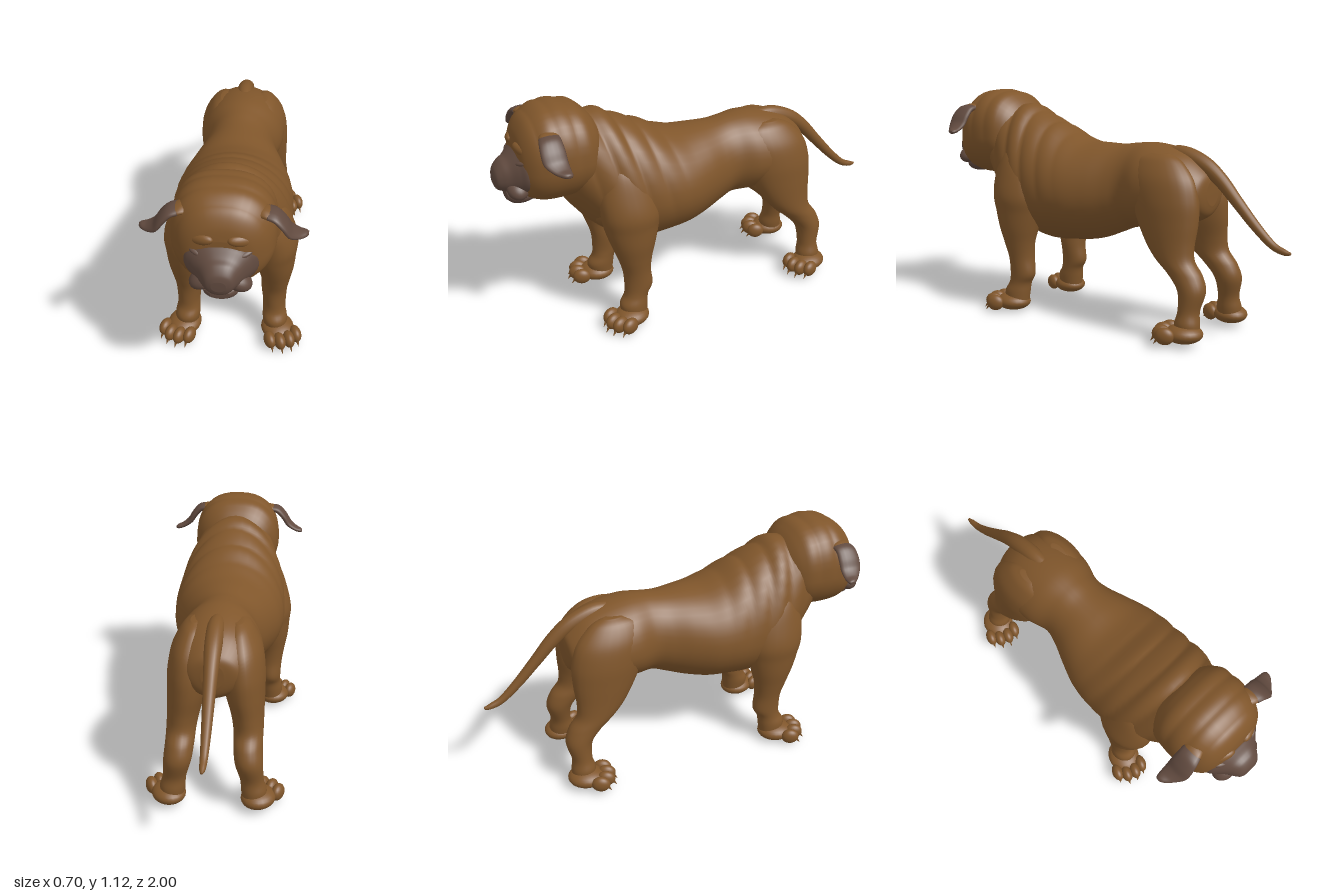
import * as THREE from 'three';

const coat = new THREE.MeshStandardMaterial({ color: 0x80562b });
coat.name = 'brownCoat';
const mask = new THREE.MeshStandardMaterial({ color: 0x614a3f });
mask.name = 'darkMask';

// Smoothly interpolate rows of numbers, `steps` rows per gap
function smooth(rows, steps) {
  const out = [];
  const last = rows.length - 1;
  for (let i = 0; i < last; i++) {
    const a = rows[Math.max(i - 1, 0)], b = rows[i], c = rows[i + 1], d = rows[Math.min(i + 2, last)];
    for (let s = 0; s < steps; s++) {
      const t = s / steps;
      out.push(b.map((v, k) => v + 0.5 * t * (c[k] - a[k] +
        t * (2 * a[k] - 5 * v + 4 * c[k] - d[k] + t * (3 * (v - c[k]) + d[k] - a[k])))));
    }
  }
  out.push(rows[last]);
  return out;
}

// Skin a list of closed rings, cap both ends and make it face outwards
function loft(rings) {
  const n = rings[0].length, m = rings.length;
  const pts = rings.flat();
  for (const r of [rings[0], rings[m - 1]]) {
    pts.push(r.reduce((s, p) => s.add(p), new THREE.Vector3()).divideScalar(n));
  }
  const tris = [];
  for (let j = 0; j < n; j++) {
    const k = (j + 1) % n;
    for (let i = 0; i < m - 1; i++) {
      const a = i * n + j, b = i * n + k, c = a + n, d = b + n;
      tris.push([a, b, d], [a, d, c]);
    }
    tris.push([m * n, k, j], [m * n + 1, (m - 1) * n + j, (m - 1) * n + k]);
  }
  let volume = 0;
  const cross = new THREE.Vector3();
  for (const [a, b, c] of tris) volume += pts[a].dot(cross.crossVectors(pts[b], pts[c]));
  const geo = new THREE.BufferGeometry().setFromPoints(pts);
  geo.setIndex(tris.flatMap(([a, b, c]) => (volume > 0 ? [a, b, c] : [a, c, b])));
  geo.computeVertexNormals();
  return geo;
}

const pow = (v, p) => Math.sign(v) * Math.abs(v) ** p;

// Rings along z from rows [z, top, bottom, halfWidth, widestY]; fold(z, y) swells the skin
function alongZ(rows, { steps = 8, sides = 40, upper = 1, lower = 1, fold = () => 0 } = {}) {
  return loft(smooth(rows, steps).map(([z, top, bottom, w, mid]) =>
    Array.from({ length: sides }, (_, j) => {
      const a = (j / sides) * Math.PI * 2, s = Math.sin(a);
      const h = pow(s, s > 0 ? upper : 1) * (s > 0 ? top - mid : mid - bottom);
      const swell = 1 + fold(z, mid + h);
      return new THREE.Vector3(w * pow(Math.cos(a), s > 0 ? upper : lower) * swell, mid + h * swell, z);
    })));
}

// Rings along y from rows [y, x0, x1, z0, z1]
function alongY(rows, side) {
  return loft(smooth(rows, 6).map(([y, x0, x1, z0, z1]) =>
    Array.from({ length: 24 }, (_, j) => {
      const a = (j / 24) * Math.PI * 2;
      return new THREE.Vector3(side * ((x0 + x1) / 2 + (x1 - x0) / 2 * Math.cos(a)), y,
        (z0 + z1) / 2 + (z1 - z0) / 2 * Math.sin(a));
    })));
}

// Flat flap along a path from rows [x, y, z, halfThickness, halfWidth]
function flap(rows, side) {
  const path = smooth(rows, 6);
  return loft(path.map(([x, y, z, t, w], i) => {
    const p = path[Math.max(i - 1, 0)], q = path[Math.min(i + 1, path.length - 1)];
    const len = Math.hypot(q[0] - p[0], q[1] - p[1]);
    const nx = -(q[1] - p[1]) / len, ny = (q[0] - p[0]) / len;
    return Array.from({ length: 16 }, (_, j) => {
      const a = (j / 16) * Math.PI * 2, h = t * Math.cos(a);
      return new THREE.Vector3(side * (x + nx * h), y + ny * h, z + w * Math.sin(a));
    });
  }));
}

function add(parent, name, geo, material = coat) {
  const mesh = new THREE.Mesh(geo, material);
  mesh.name = name;
  parent.add(mesh);
  return mesh;
}

// Ellipsoid helper
function blob(parent, name, pos, size, material) {
  const geo = new THREE.SphereGeometry(1, 24, 16);
  geo.scale(...size);
  const mesh = add(parent, name, geo, material);
  mesh.position.set(...pos);
  return mesh;
}

// Paw with four toes and claws
function paw(parent, name, x, y, z, side) {
  const group = new THREE.Group();
  group.name = name;
  group.position.set(side * x, y, z);
  group.rotation.y = side * 0.38;
  blob(group, 'pad', [0, 0.047, 0], [0.08, 0.044, 0.09]);
  [-0.066, -0.023, 0.023, 0.066].forEach((tx, i) => {
    const tz = i % 3 ? 0.098 : 0.075;
    blob(group, 'toe', [tx, 0.048, tz], [0.028, 0.04, 0.045]);
    const claw = add(group, 'claw', new THREE.ConeGeometry(0.011, 0.045, 8));
    claw.position.set(tx, 0.025, tz + 0.04);
    claw.rotation.x = 2.5;
  });
  parent.add(group);
}

export function createModel() {
  const dog = new THREE.Group();
  dog.name = 'dog';

  // Torso and neck, with skin folds that fade towards the back
  const neckFold = (z, y) => {
    const strength = THREE.MathUtils.smoothstep(z, 0.05, 0.45) * THREE.MathUtils.smoothstep(y, 0.45, 0.75);
    return 0.04 * strength * (Math.abs(Math.sin((z - 0.25 * (y - 0.9)) * 31)) - 0.6);
  };
  add(dog, 'torso', alongZ([
    [-0.6, 0.74, 0.62, 0.05, 0.68], [-0.58, 0.78, 0.57, 0.12, 0.68], [-0.5, 0.845, 0.53, 0.18, 0.67],
    [-0.4, 0.88, 0.5, 0.21, 0.67], [-0.28, 0.897, 0.48, 0.205, 0.67], [-0.18, 0.89, 0.475, 0.175, 0.67],
    [-0.1, 0.88, 0.445, 0.19, 0.65], [0, 0.88, 0.405, 0.23, 0.64], [0.1, 0.885, 0.38, 0.265, 0.63],
    [0.2, 0.915, 0.37, 0.28, 0.63], [0.3, 0.965, 0.362, 0.28, 0.63], [0.38, 0.995, 0.375, 0.28, 0.64],
    [0.46, 1.04, 0.415, 0.265, 0.67], [0.54, 1.06, 0.475, 0.235, 0.72], [0.61, 1.08, 0.55, 0.205, 0.8],
    [0.67, 1.06, 0.63, 0.17, 0.84], [0.7, 0.95, 0.7, 0.08, 0.84],
  ], { lower: 1.25, fold: neckFold }));

  // Broad head with wrinkled brow
  const browFold = (z, y) => 0.02 * THREE.MathUtils.smoothstep(y, 0.85, 1) *
    (Math.abs(Math.sin(z * 38)) - 0.6);
  add(dog, 'head', alongZ([
    [0.5, 0.99, 0.78, 0.12, 0.88], [0.58, 1.09, 0.71, 0.205, 0.88], [0.66, 1.12, 0.685, 0.223, 0.88],
    [0.74, 1.125, 0.68, 0.224, 0.88], [0.8, 1.108, 0.685, 0.214, 0.87], [0.85, 1.075, 0.7, 0.185, 0.86],
    [0.885, 1.02, 0.725, 0.14, 0.86], [0.9, 0.96, 0.77, 0.09, 0.86],
  ], { upper: 0.82, lower: 0.9, fold: browFold }));

  // Dark face: muzzle, nose, jaw and lips
  add(dog, 'muzzle', alongZ([
    [0.83, 0.955, 0.735, 0.15, 0.84], [0.875, 0.955, 0.73, 0.155, 0.84], [0.905, 0.93, 0.732, 0.128, 0.83],
    [0.935, 0.905, 0.738, 0.098, 0.82], [0.965, 0.89, 0.748, 0.076, 0.815], [0.99, 0.862, 0.76, 0.055, 0.812],
    [1, 0.835, 0.785, 0.03, 0.81],
  ], { upper: 0.85, lower: 0.9 }), mask);
  add(dog, 'lowerJaw', alongZ([
    [0.82, 0.75, 0.69, 0.07, 0.72], [0.88, 0.755, 0.678, 0.082, 0.72], [0.925, 0.75, 0.682, 0.07, 0.72],
    [0.95, 0.74, 0.7, 0.04, 0.72],
  ], { upper: 0.8, lower: 0.85 }), mask);
  blob(dog, 'nose', [0, 0.845, 0.965], [0.042, 0.03, 0.03], mask);

  for (const side of [1, -1]) {
    const label = side > 0 ? 'left' : 'right';
    const tooth = add(dog, label + 'Fang', new THREE.ConeGeometry(0.008, 0.035, 8), mask);
    tooth.position.set(side * 0.066, 0.755, 0.935);
    const lip = blob(dog, label + 'Lip', [side * 0.075, 0.772, 0.91], [0.06, 0.04, 0.05], mask);
    lip.rotation.z = -side * 0.5;
    const lid = blob(dog, label + 'Eyelid', [side * 0.095, 0.9, 0.885], [0.045, 0.014, 0.025], mask);
    lid.rotation.set(0, side * 0.5, side * 0.25);
    const brow = blob(dog, label + 'Brow', [side * 0.09, 0.955, 0.868], [0.07, 0.03, 0.03]);
    brow.rotation.set(0, side * 0.5, -side * 0.2);

    // Folded ears: coat at the root, dark flap
    add(dog, label + 'EarRoot', flap([
      [0.13, 1.03, 0.77, 0.02, 0.04], [0.17, 1.035, 0.78, 0.02, 0.046], [0.205, 1.026, 0.785, 0.017, 0.048],
    ], side));
    add(dog, label + 'Ear', flap([
      [0.18, 1.033, 0.782, 0.018, 0.048], [0.215, 1.024, 0.788, 0.019, 0.052], [0.248, 0.99, 0.79, 0.018, 0.056],
      [0.275, 0.95, 0.788, 0.016, 0.054], [0.31, 0.926, 0.775, 0.013, 0.04], [0.34, 0.917, 0.762, 0.012, 0.024],
      [0.352, 0.916, 0.757, 0.006, 0.01],
    ], side), mask);

    // Chest muscle
    const chest = blob(dog, label + 'Chest', [side * 0.115, 0.57, 0.48], [0.11, 0.075, 0.09]);
    chest.rotation.z = side * 0.6;

    // Legs and paws
    add(dog, label + 'FrontLeg', alongY([
      [0.03, 0.165, 0.275, 0.37, 0.48], [0.1, 0.155, 0.275, 0.362, 0.5], [0.15, 0.155, 0.265, 0.355, 0.475],
      [0.2, 0.153, 0.265, 0.33, 0.47], [0.28, 0.145, 0.27, 0.337, 0.475], [0.36, 0.142, 0.283, 0.33, 0.5],
      [0.44, 0.12, 0.298, 0.31, 0.53], [0.52, 0.1, 0.305, 0.29, 0.555], [0.6, 0.1, 0.311, 0.28, 0.57],
      [0.7, 0.1, 0.287, 0.3, 0.57], [0.8, 0.1, 0.25, 0.36, 0.54], [0.87, 0.13, 0.2, 0.41, 0.49],
    ], side));
    paw(dog, label + 'FrontPaw', 0.23, 0, 0.45, side);
    add(dog, label + 'HindLeg', alongY([
      [0.04, 0.14, 0.24, -0.65, -0.54], [0.1, 0.13, 0.25, -0.65, -0.53], [0.16, 0.125, 0.235, -0.642, -0.542],
      [0.25, 0.1, 0.23, -0.662, -0.53], [0.32, 0.09, 0.225, -0.64, -0.47], [0.38, 0.085, 0.225, -0.597, -0.4],
      [0.45, 0.07, 0.225, -0.59, -0.34], [0.55, 0.04, 0.226, -0.598, -0.28], [0.65, 0.025, 0.224, -0.595, -0.24],
      [0.75, 0.025, 0.205, -0.565, -0.22], [0.83, 0.05, 0.16, -0.49, -0.25], [0.86, 0.08, 0.12, -0.42, -0.33],
    ], side));
    paw(dog, label + 'HindPaw', 0.21, 0.012, -0.585, side);
  }

  // Tapering tail
  add(dog, 'tail', loft(smooth([
    [0.85, -0.34, 0.03], [0.85, -0.44, 0.04], [0.81, -0.55, 0.04], [0.745, -0.64, 0.034], [0.65, -0.73, 0.028],
    [0.55, -0.825, 0.023], [0.475, -0.91, 0.018], [0.45, -0.97, 0.014], [0.447, -1, 0.006],
  ], 6).map(([y, z, r], i, rows) => {
    const p = rows[Math.max(i - 1, 0)], q = rows[Math.min(i + 1, rows.length - 1)];
    const len = Math.hypot(q[0] - p[0], q[1] - p[1]);
    return Array.from({ length: 16 }, (_, j) => {
      const a = (j / 16) * Math.PI * 2, h = r * Math.sin(a);
      return new THREE.Vector3(r * Math.cos(a), y - h * (q[1] - p[1]) / len, z + h * (q[0] - p[0]) / len);
    });
  })));

  return dog;
}
